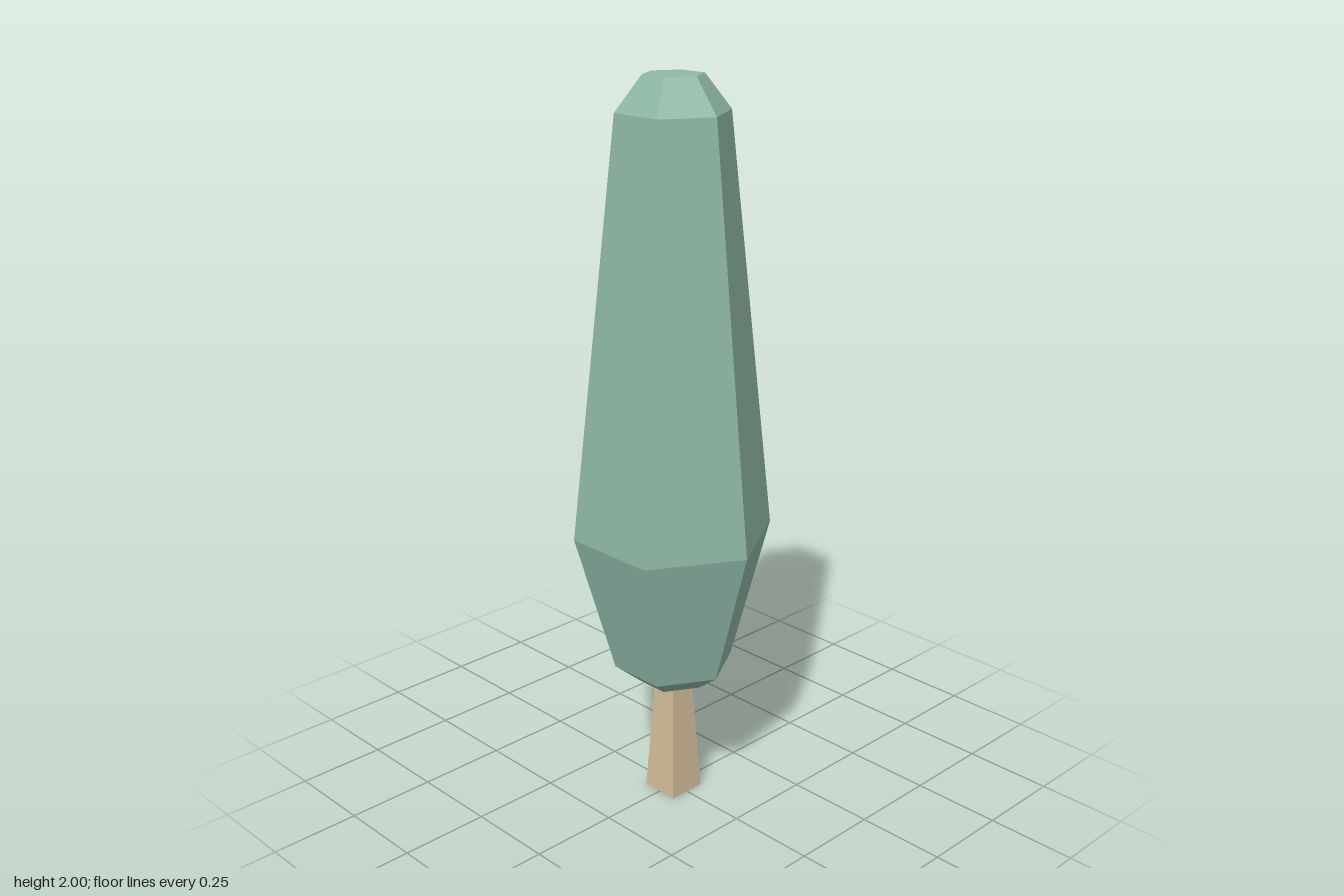
import * as THREE from 'three';

export function createModel() {
  const model = new THREE.Group();
  model.name = 'tree';

  const leafGreen = new THREE.MeshStandardMaterial({ color: 0x8fb8a6, flatShading: true });
  leafGreen.name = 'leaf green';
  const barkTan = new THREE.MeshStandardMaterial({ color: 0xd4bd9a, flatShading: true });
  barkTan.name = 'bark tan';

  // Six-sided crown, corners on the z axis: [radius, height] from bottom to top
  const profile = [
    [0, 0.35], [0.1, 0.35], [0.165, 0.4], [0.273, 0.79],
    [0.15, 1.91], [0.08, 2], [0, 2],
  ].map(([r, y]) => new THREE.Vector2(r, y));
  const crown = new THREE.Mesh(new THREE.LatheGeometry(profile, 6), leafGreen);
  crown.name = 'crown';
  model.add(crown);

  // Square tapered trunk with a green underside (materials: side, top, bottom)
  const trunkGeometry = new THREE.CylinderGeometry(0.035 * Math.SQRT2, 0.055 * Math.SQRT2, 0.35, 4);
  trunkGeometry.rotateY(Math.PI / 4).translate(0, 0.175, 0);
  const trunk = new THREE.Mesh(trunkGeometry, [barkTan, barkTan, leafGreen]);
  trunk.name = 'trunk';
  model.add(trunk);

  return model;
}
